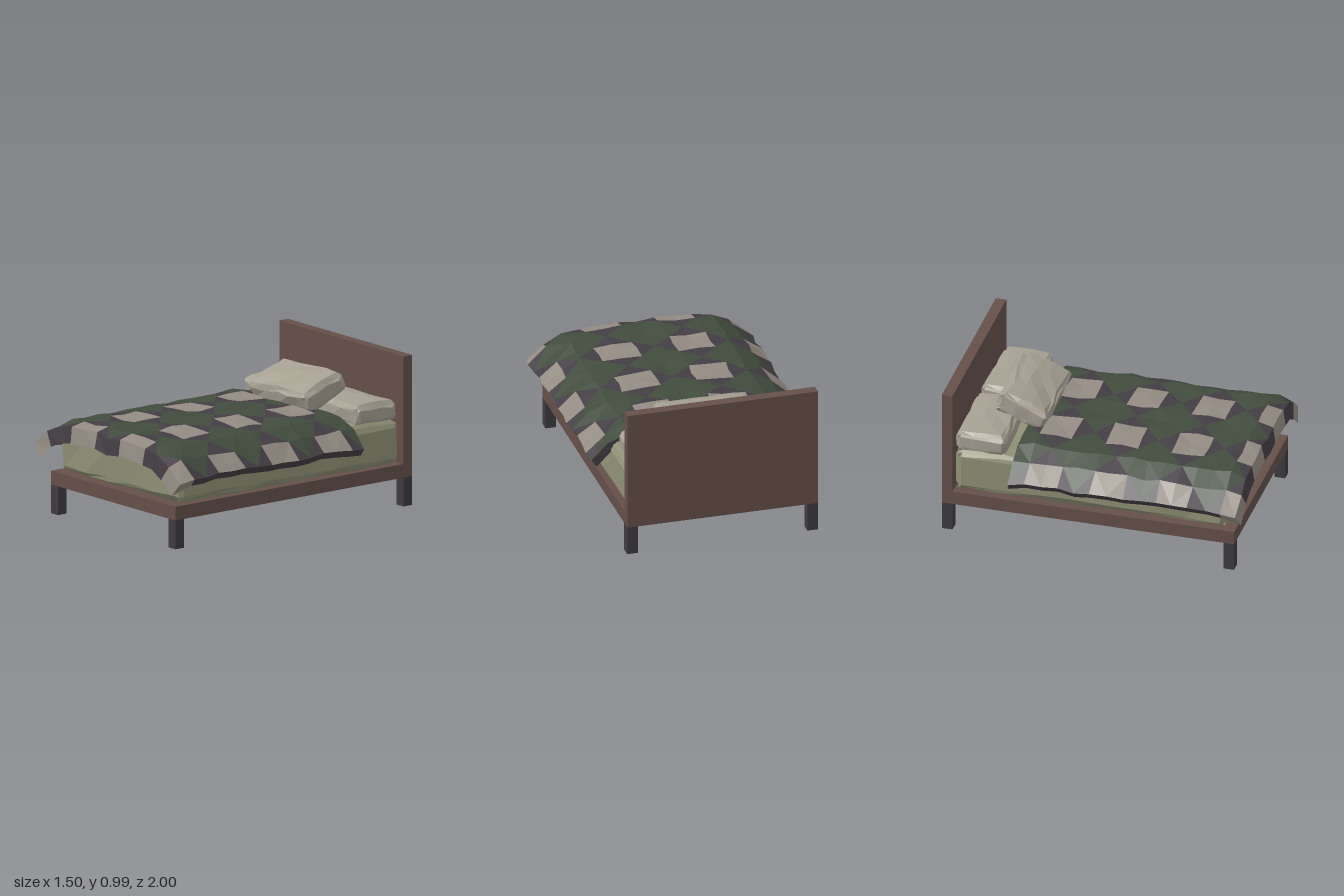
import * as THREE from 'three';

const WOOD = 0x654f49, LEG = 0x3f3b40, MATTRESS = 0x8f9074, PILLOW = 0xa59f91;
const GREEN = 0x414c3d, PLUM = 0x433d44, BEIGE = 0x938b82;

const mat = (color) => new THREE.MeshStandardMaterial({ color, flatShading: true });

function add(parent, name, geometry, color, x = 0, y = 0, z = 0) {
  const mesh = new THREE.Mesh(geometry, mat(color));
  mesh.name = name;
  mesh.position.set(x, y, z);
  parent.add(mesh);
  return mesh;
}

// Repeatable wobble in -1..1 that depends only on position, so seams stay closed
function wobble(a, b, c) {
  const s = Math.sin(a * 127.1 + b * 311.7 + c * 74.7 + 3.1) * 43758.5453;
  return (s - Math.floor(s)) * 2 - 1;
}

// Box with chamfered edges, a belly and a slight hand-made wobble
function softBox(w, h, d, segs, { bevel, thin = 0, jitter = 0.008 }) {
  const half = [w / 2, h / 2, d / 2];
  const geo = new THREE.BoxGeometry(2, 2, 2, ...segs);
  const pos = geo.attributes.position;
  for (let i = 0; i < pos.count; i++) {
    const u = [pos.getX(i), pos.getY(i), pos.getZ(i)];
    const ends = u.filter((v) => Math.abs(v) > 0.999).length;
    const p = u.map((v, a) => {
      const step = 2 / segs[a];
      const inner = half[a] - bevel;
      // the outermost segment on each axis is the bevel band
      if (Math.abs(v) > 0.999) return Math.sign(v) * (half[a] - (ends > 1 ? bevel * 0.4 : 0));
      return segs[a] > 2 ? (v / (1 - step)) * inner : v * inner;
    });
    const edge = Math.max(Math.abs(u[0]), Math.abs(u[2]));
    p[1] *= 1 - thin * edge ** 4;
    const r = u.map((v) => Math.round(v * 100) / 100);
    pos.setXYZ(i,
      p[0] + jitter * wobble(r[0], r[1], r[2]),
      p[1] + jitter * wobble(r[1], r[2], r[0]),
      p[2] + jitter * wobble(r[2], r[0], r[1]));
  }
  geo.computeVertexNormals();
  return geo;
}

// Draped quilt: a grid of half-patches with a thick hem, sorted by patch colour
function makeQuilt() {
  const I = 6, K0 = -6, K1 = 8;
  const height = [0.645, 0.65, 0.645, 0.642, 0.632, 0.57, 0.472];
  const tilt = [0, 0, 0.02, 0.06, 0.3, 0.55, 0.67]; // lean of the surface normal
  const drop = (k) => (k === K1 ? 0.022 : k === K0 ? 0.01 : 0);

  function top(i, k) {
    const n = Math.abs(i);
    const z = k === K1 ? 0.98 : 0.12 + 0.1085 * k;
    return [
      i * 0.1235 + 0.01 * wobble(i, k, 1),
      height[n] - drop(k) + 0.009 * wobble(i, k, 2),
      z + 0.007 * wobble(i, k, 3)
    ];
  }
  function bottom(i, k) {
    const [x, y, z] = top(i, k);
    const lean = tilt[Math.abs(i)];
    const t = k === K1 ? 0.108 : 0.06;
    return [x - Math.sign(i) * Math.sin(lean) * t, y - Math.cos(lean) * t, k === K1 ? 0.998 : z];
  }

  // Patchwork: beige squares, plum triangles against their sides, green elsewhere
  const mod4 = (n) => ((n % 4) + 4) % 4;
  function patch(x, z) {
    const ci = 2 * Math.round(x / 2), ck = 2 * Math.round(z / 2);
    const sideways = Math.abs(x - ci) > Math.abs(z - ck);
    const bi = mod4(ci) === 2, bk = mod4(ck) === 0;
    if (bi && bk) return BEIGE;
    if (!bi && bk) return sideways ? PLUM : GREEN;
    if (bi && !bk) return sideways ? GREEN : PLUM;
    return GREEN;
  }

  const buckets = { [BEIGE]: [], [PLUM]: [], [GREEN]: [] };
  const tri = (color, ...pts) => pts.forEach((p) => buckets[color].push(...p));

  for (let i = -I; i < I; i++) {
    for (let k = K0; k < K1; k++) {
      const a = [i, k], b = [i + 1, k], c = [i + 1, k + 1], d = [i, k + 1];
      const faces = (i + k) % 2 === 0 ? [[a, d, c], [a, c, b]] : [[a, d, b], [b, d, c]];
      for (const f of faces) {
        const x = (f[0][0] + f[1][0] + f[2][0]) / 3;
        const z = (f[0][1] + f[1][1] + f[2][1]) / 3;
        tri(patch(x, z), ...f.map((g) => top(...g)));
        tri(PLUM, ...f.map((g) => bottom(...g)).reverse());
      }
    }
  }

  // Hem all the way round
  const ring = [];
  for (let i = -I; i < I; i++) ring.push([i, K1]);
  for (let k = K1; k > K0; k--) ring.push([I, k]);
  for (let i = I; i > -I; i--) ring.push([i, K0]);
  for (let k = K0; k < K1; k++) ring.push([-I, k]);
  ring.forEach((p, n) => {
    const q = ring[(n + 1) % ring.length];
    const mi = (p[0] + q[0]) / 2, mk = (p[1] + q[1]) / 2;
    const beige = mk > 7 && patch(mi, K1) === BEIGE;
    const color = beige ? BEIGE : PLUM;
    tri(color, top(...p), bottom(...p), bottom(...q));
    tri(color, top(...p), bottom(...q), top(...q));
  });

  const quilt = new THREE.Group();
  quilt.name = 'quilt';
  const names = { [BEIGE]: 'quiltSquares', [PLUM]: 'quiltTrianglesAndHem', [GREEN]: 'quiltDiamonds' };
  for (const key of Object.keys(buckets)) {
    const geo = new THREE.BufferGeometry();
    geo.setAttribute('position', new THREE.Float32BufferAttribute(buckets[key], 3));
    geo.computeVertexNormals();
    add(quilt, names[key], geo, Number(key));
  }
  return quilt;
}

export function createModel() {
  const bed = new THREE.Group();
  bed.name = 'bed';

  // Wooden frame
  add(bed, 'base', new THREE.BoxGeometry(1.268, 0.09, 1.87), WOOD, 0, 0.234, 0.005);
  add(bed, 'headboard', new THREE.BoxGeometry(1.268, 0.796, 0.07), WOOD, 0, 0.587, -0.965);
  for (const x of [-0.599, 0.599]) {
    for (const z of [-0.964, 0.904]) {
      add(bed, 'leg', new THREE.BoxGeometry(0.07, 0.19, 0.07), LEG, x, 0.095, z);
    }
  }

  // Mattress
  add(bed, 'mattress', softBox(1.22, 0.29, 1.81, [7, 3, 9], { bevel: 0.045 }), MATTRESS, 0, 0.422, -0.015);

  // Pair of flat pillows, then one leaning on top of them
  const pillow = () => softBox(0.56, 0.15, 0.33, [6, 3, 5], { bevel: 0.035, thin: 0.15 });
  add(bed, 'rightPillow', pillow(), PILLOW, -0.305, 0.62, -0.762).rotation.y = 0.02;
  add(bed, 'leftPillow', pillow(), PILLOW, 0.3, 0.62, -0.762).rotation.y = -0.03;
  add(bed, 'frontPillow', softBox(0.59, 0.155, 0.34, [6, 3, 5], { bevel: 0.035, thin: 0.12, jitter: 0.012 }),
    PILLOW, 0, 0.73, -0.568).rotation.x = 0.36;

  bed.add(makeQuilt());
  return bed;
}
